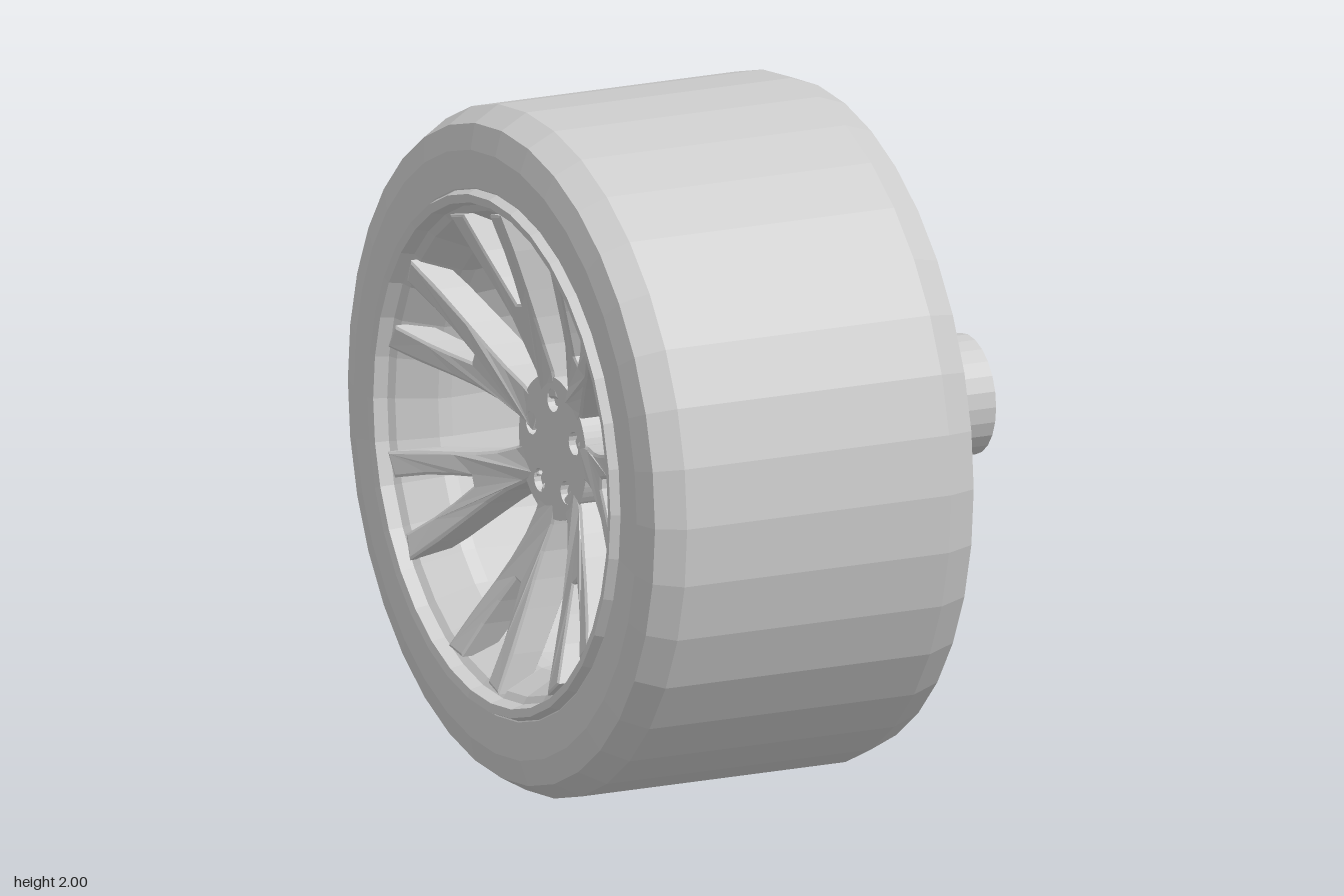
import * as THREE from 'three';

const grey = new THREE.MeshStandardMaterial({ color: 0xcccccc, flatShading: true, side: THREE.DoubleSide });

export function createModel() {
  const model = new THREE.Group();

  // Parts are shaped around the wheel axis, then raised to stand on the ground
  const add = (name, geometry) => {
    const mesh = new THREE.Mesh(geometry.translate(0, 1, 0), grey);
    mesh.name = name;
    model.add(mesh);
  };

  // Profile of [x, radius] pairs revolved around the axle (x axis)
  const revolve = (name, profile, segments = 36) => {
    const g = new THREE.LatheGeometry(profile.map(([x, r]) => new THREE.Vector2(r, x)), segments);
    add(name, g.rotateZ(-Math.PI / 2));
  };

  // Flat shape in the wheel plane, extruded along +x from x0
  const extrude = (name, shape, x0, depth) => {
    const g = new THREE.ExtrudeGeometry(shape, { depth, bevelEnabled: false, curveSegments: 36 });
    add(name, g.translate(0, 0, x0).rotateY(Math.PI / 2));
  };

  const polygon = pts => new THREE.Shape(pts.map(([u, v]) => new THREE.Vector2(u, v)));
  const ring = (u, v, r, n) => Array.from({ length: n }, (_, i) => {
    const a = i / n * Math.PI * 2;
    return [u + r * Math.cos(a), v + r * Math.sin(a)];
  });
  const cut = (shape, u, v, r, n) => shape.holes.push(polygon(ring(u, v, r, n)));

  // Tyre with chamfered shoulders
  revolve('tyre', [
    [-0.73, 0.74], [-0.745, 0.77], [-0.75, 0.88], [-0.73, 0.955], [-0.65, 1], [0.2, 1],
    [0.288, 0.968], [0.29, 0.95], [0.29, 0.73],
  ]);

  // Rim: barrel narrowing from the back to the throat, then the front lip
  revolve('rimBarrel', [
    [0.29, 0.73], [-0.56, 0.64], [-0.6, 0.645], [-0.71, 0.7],
    [-0.725, 0.72], [-0.765, 0.73], [-0.77, 0.755], [-0.74, 0.768],
  ]);

  // Seven forked spokes, dished from the hub out to the lip
  const half = [[0.14, 0.05], [0.22, 0.054], [0.3, 0.06], [0.38, 0.076], [0.46, 0.098], [0.58, 0.134],
    [0.69, 0.16], [0.69, 0.083], [0.58, 0.062], [0.5, 0.04], [0.42, 0.014]];
  const outline = [...half.map(([u, v]) => [u, -v]), ...half.slice().reverse()];
  const spokeGeometry = new THREE.ExtrudeGeometry(polygon(outline), {
    depth: 0.9, bevelEnabled: true, bevelSize: 0.008, bevelOffset: -0.008,
    bevelThickness: 0.05, bevelSegments: 1,
  });
  const p = spokeGeometry.attributes.position;
  for (let i = 0; i < p.count; i++) {
    const t = Math.max(0, (Math.hypot(p.getX(i), p.getY(i)) - 0.18) / 0.5);
    const thickness = 0.14 - 0.04 * t;
    p.setZ(i, -0.56 - 0.17 * Math.pow(t, 1.2) + (p.getZ(i) + 0.05) * thickness);
  }
  for (let i = 0; i < 7; i++) {
    const a = THREE.MathUtils.degToRad(77.5) + i / 7 * Math.PI * 2;
    add('spoke', spokeGeometry.clone().rotateZ(a).rotateY(Math.PI / 2));
  }

  // Hub plate with five bolt wells
  const hub = new THREE.Shape().absarc(0, 0, 0.21, 0, Math.PI * 2);
  for (let i = 0; i < 5; i++) {
    const a = Math.PI / 2 + i / 5 * Math.PI * 2;
    const u = 0.14 * Math.cos(a), v = 0.14 * Math.sin(a);
    cut(hub, u, v, 0.034, 16);
    extrude('lugNut', polygon(ring(u, v, 0.021, 6)), -0.55, 0.09);
  }
  extrude('hubPlate', hub, -0.565, 0.12);

  // Brake disc drilled with three staggered rows of holes
  const disc = new THREE.Shape().absarc(0, 0, 0.585, 0, Math.PI * 2);
  cut(disc, 0, 0, 0.34, 36);
  [0.433, 0.49, 0.548].forEach((r, row) => {
    for (let i = 0; i < 24; i++) {
      const a = (i + row * 0.22) / 24 * Math.PI * 2;
      cut(disc, r * Math.cos(a), r * Math.sin(a), 0.016, 6);
    }
  });
  extrude('brakeDisc', disc, -0.25, 0.05);
  revolve('discHat', [
    [-0.46, 0], [-0.46, 0.19], [-0.36, 0.2], [-0.34, 0.36], [-0.25, 0.375], [-0.18, 0.375], [-0.18, 0],
  ]);

  // Caliper gripping the front edge of the disc, its back sloping away towards the rim
  const caliper = new THREE.ExtrudeGeometry(polygon([
    [-0.31, 0.53], [-0.36, 0.55], [-0.42, 0.5], [-0.52, 0.36], [-0.6, 0.2], [-0.64, 0.14], [-0.64, 0.07],
    [-0.61, 0.04], [-0.61, -0.14], [-0.57, -0.24], [-0.48, -0.39], [-0.42, -0.15], [-0.375, 0.08], [-0.335, 0.33],
  ]), { depth: 0.2, bevelEnabled: false });
  const c = caliper.attributes.position;
  for (let i = 0; i < c.count; i++) {
    const slope = 0.35 * Math.max(0, Math.hypot(c.getX(i), c.getY(i)) - 0.38);
    c.setZ(i, c.getZ(i) > 0 ? -0.12 - slope : -0.33);
  }
  add('brakeCaliper', caliper.rotateY(Math.PI / 2));

  // Axle running out of the back of the wheel
  revolve('axle', [[-0.5, 0], [-0.5, 0.175], [0.77, 0.175], [0.77, 0]], 24);

  return model;
}
